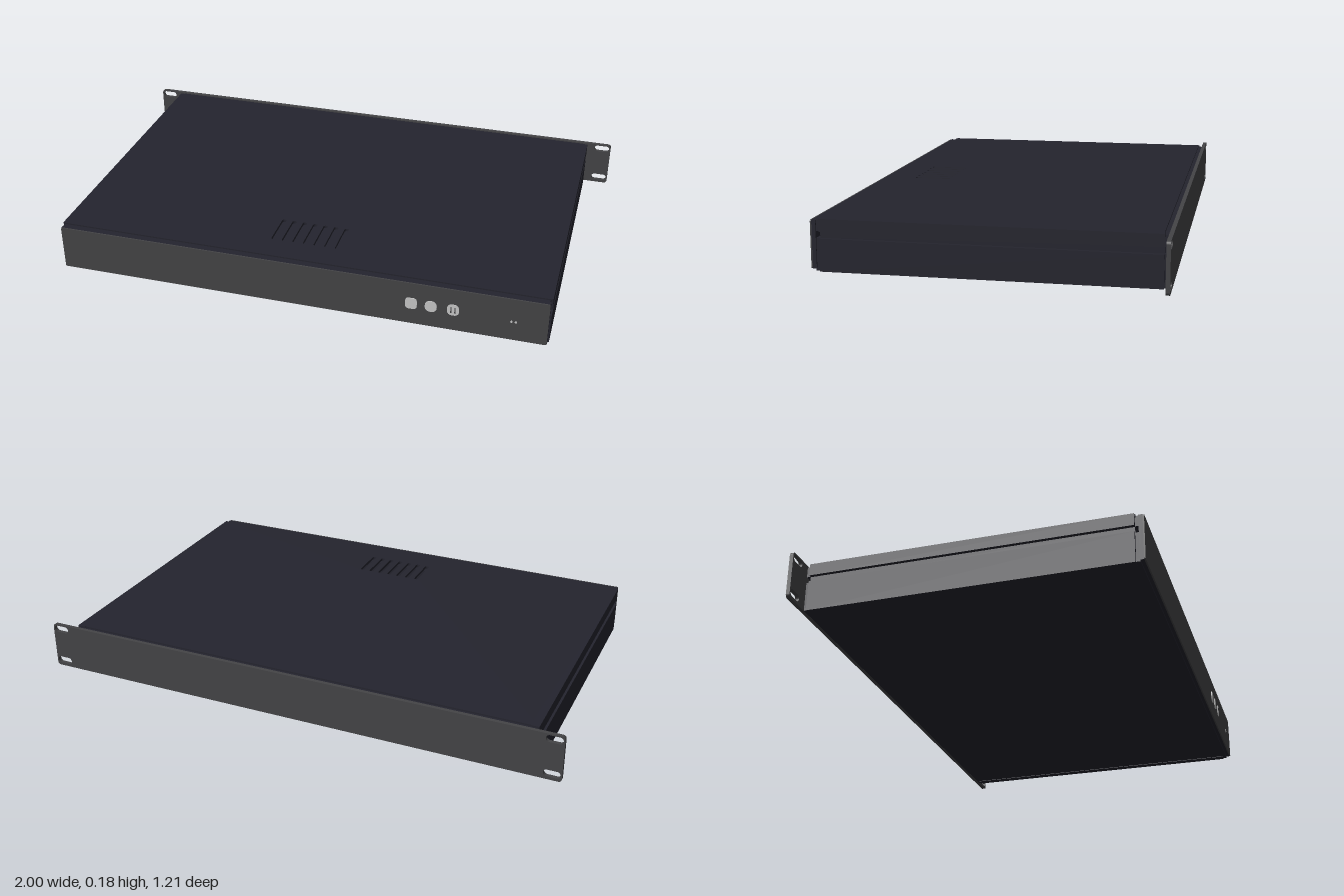
import * as THREE from 'three';

const mat = (name, color) => Object.assign(new THREE.MeshStandardMaterial({ color }), { name });

// Rounded rectangle outline, usable as a shape or a hole
function roundRect(Type, cx, cy, w, h, r) {
  const p = new Type(), x = w / 2 - r, y = h / 2 - r;
  p.absarc(cx + x, cy + y, r, 0, Math.PI / 2);
  p.absarc(cx - x, cy + y, r, Math.PI / 2, Math.PI);
  p.absarc(cx - x, cy - y, r, Math.PI, Math.PI * 1.5);
  p.absarc(cx + x, cy - y, r, Math.PI * 1.5, Math.PI * 2);
  p.closePath();
  return p;
}

export function createModel() {
  const root = new THREE.Group();
  root.name = 'rackEnclosure';
  const navy = mat('darkCase', 0x24242e);
  const gray = mat('panelGray', 0x444446);
  const silver = mat('connectorSilver', 0xc8c8c8);

  const add = (name, geo, material, x = 0, y = 0, z = 0) => {
    const m = new THREE.Mesh(geo, material);
    m.name = name;
    m.position.set(x, y, z);
    root.add(m);
    return m;
  };
  // Box given by its minimum and maximum corners
  const box = (name, material, x0, x1, y0, y1, z0, z1) =>
    add(name, new THREE.BoxGeometry(x1 - x0, y1 - y0, z1 - z0), material,
      (x0 + x1) / 2, (y0 + y1) / 2, (z0 + z1) / 2);
  const plate = (shape, depth) =>
    new THREE.ExtrudeGeometry(shape, { depth, bevelEnabled: false, curveSegments: 8 });

  // Top cover with a row of vent slots near the front
  const cover = roundRect(THREE.Shape, 0, 0, 1.8, 1.145, 0.002);
  for (let i = 0; i < 7; i++) {
    cover.holes.push(roundRect(THREE.Path, (i - 3) * 0.04, -0.4, 0.016, 0.14, 0.007));
  }
  const top = add('topCover', plate(cover, 0.01), navy, 0, 0.17, 0);
  top.rotation.x = -Math.PI / 2;

  // Bottom tray
  box('bottomTray', navy, -0.9, 0.9, 0.002, 0.012, -0.585, 0.585);

  // Side rails with a long groove
  for (const s of [-1, 1]) {
    const rail = (name, a, b, y0, y1) =>
      box(name, navy, Math.min(s * a, s * b), Math.max(s * a, s * b), y0, y1, -0.575, 0.57);
    rail('sideRailLower', 0.875, 0.905, 0, 0.113);
    rail('sideRailGroove', 0.875, 0.892, 0.113, 0.136);
    rail('sideRailUpper', 0.875, 0.905, 0.136, 0.18);
  }

  // Inset flanges joining the case to both end panels, open at groove height
  for (const [z0, z1] of [[0.56, 0.585], [-0.59, -0.565]]) {
    box('flangeLower', navy, -0.895, 0.895, 0.008, 0.113, z0, z1);
    box('flangeUpper', navy, -0.895, 0.895, 0.136, 0.175, z0, z1);
  }

  // Front panel: dark backing and gray face
  box('frontBacking', navy, -0.9, 0.9, 0.008, 0.175, 0.583, 0.597);
  add('frontFace', plate(roundRect(THREE.Shape, 0, 0.0915, 1.8, 0.167, 0.006), 0.005),
    gray, 0, 0, 0.597);

  // Rear mounting plate with slotted ears
  const rear = roundRect(THREE.Shape, 0, 0.0925, 2, 0.175, 0.012);
  for (const x of [-0.965, 0.965]) {
    for (const y of [0.029, 0.162]) {
      rear.holes.push(roundRect(THREE.Path, x, y, 0.06, 0.026, 0.0129));
    }
  }
  add('rearMountingPlate', plate(rear, 0.014), gray, 0, 0, -0.602);

  // Front connectors
  const faceZ = 0.602;
  [[0.425, 0.013], [0.495, 0.019], [0.573, 0.017]].forEach(([x, r]) =>
    add('connector', plate(roundRect(THREE.Shape, x, 0.093, 0.042, 0.044, r), 0.003), silver, 0, 0, faceZ));
  // Dark key marks on the last connector
  for (const dx of [-0.007, 0.007]) {
    box('connectorMark', gray, 0.571 + dx, 0.575 + dx, 0.081, 0.105, faceZ, faceZ + 0.004);
  }
  // Indicator lights
  for (const x of [0.775, 0.79]) {
    const led = new THREE.CylinderGeometry(0.004, 0.004, 0.003, 12).rotateX(Math.PI / 2);
    add('indicatorLight', led, silver, x, 0.084, faceZ + 0.0015);
  }
  return root;
}
